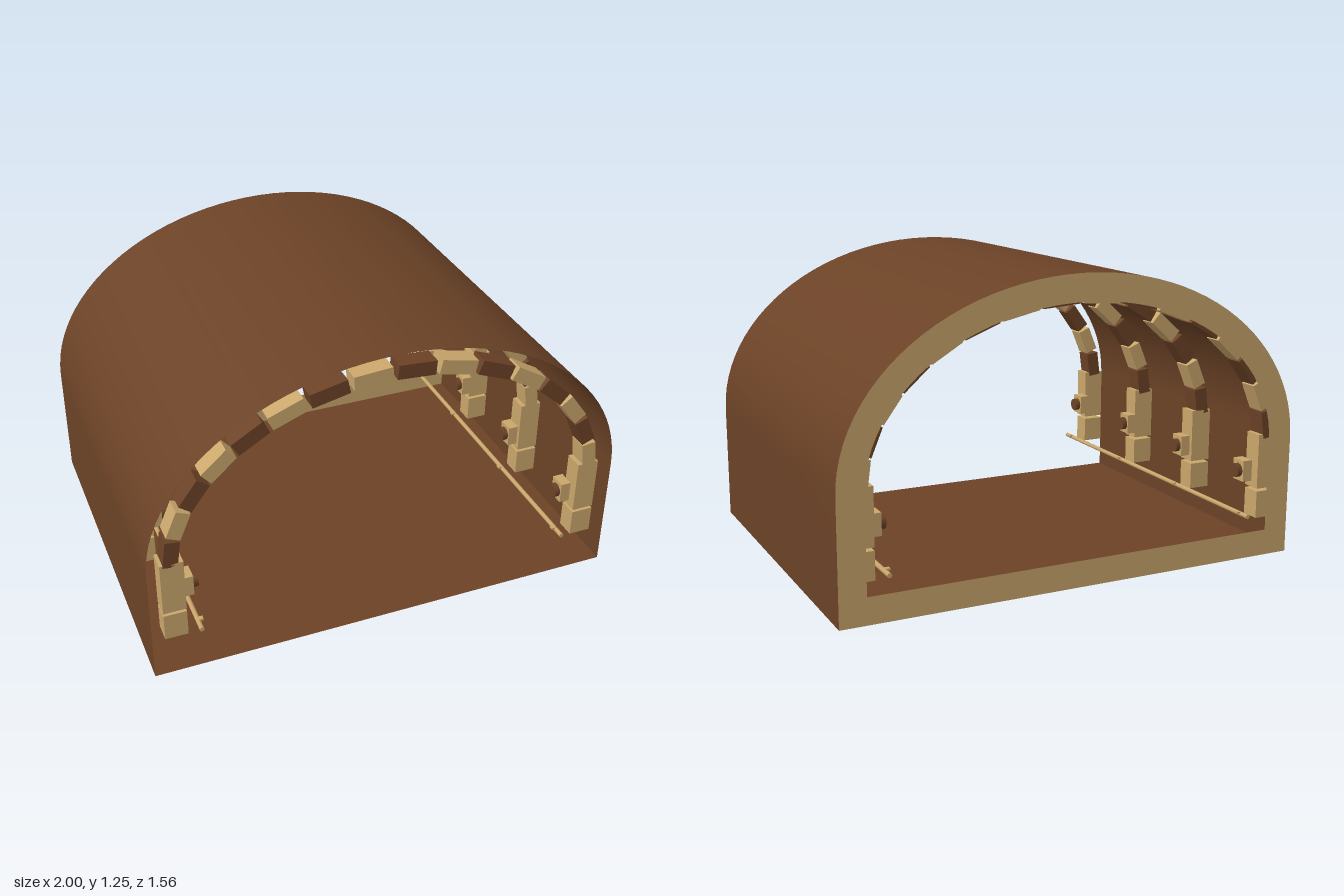
import * as THREE from 'three';

const HALF = 0.78;        // half length of the tunnel
const SPRING = 0.5;       // height where the arch starts

function mat(name, color) {
  const m = new THREE.MeshStandardMaterial({ color, side: THREE.DoubleSide });
  m.name = name;
  return m;
}

// Horseshoe outline from bottom left, over the crown, to bottom right
function archPoints(rx, ry, y0, steps = 48) {
  const pts = [new THREE.Vector2(-rx, y0)];
  for (let i = 0; i <= steps; i++) {
    const a = Math.PI * (1 - i / steps);
    pts.push(new THREE.Vector2(rx * Math.cos(a), SPRING + ry * Math.sin(a)));
  }
  pts.push(new THREE.Vector2(rx, y0));
  return pts;
}

export function createModel() {
  const model = new THREE.Group();
  model.name = 'archedTunnel';
  const brown = mat('brown', 0x6b4226);
  const tan = mat('tan', 0xc9a66b);

  function add(parent, name, geo, material, x = 0, y = 0, z = 0) {
    const mesh = new THREE.Mesh(geo, material);
    mesh.name = name;
    mesh.position.set(x, y, z);
    parent.add(mesh);
    return mesh;
  }

  // Vault: a sheet bent along the outline
  const outer = archPoints(1, 0.745, 0);
  const vault = new THREE.PlaneGeometry(1, 2 * HALF, outer.length - 1, 1);
  const pos = vault.attributes.position;
  for (let i = 0; i < pos.count; i++) {
    const p = outer[i % outer.length];
    pos.setXYZ(i, p.x, p.y, -pos.getY(i));
  }
  vault.computeVertexNormals();
  add(model, 'vault', vault, brown);

  // Floor sheet
  add(model, 'floor', new THREE.PlaneGeometry(2, 2 * HALF).rotateX(Math.PI / 2), brown);

  // Flat border closing the back end of the shell
  const border = new THREE.Shape(outer);
  border.holes.push(new THREE.Path(archPoints(0.89, 0.635, 0.11)));
  add(model, 'backBorder', new THREE.ShapeGeometry(border).rotateY(Math.PI), tan, 0, 0, -HALF);

  // Ribs: alternating arch bricks on block pillars
  const COUNT = 16;
  const RX = 0.9, RY = 0.655;
  for (let r = 0; r < 4; r++) {
    const t = r / 1.5 - 1;            // -1 .. 1 along the tunnel
    const rib = new THREE.Group();
    rib.name = 'rib';
    rib.position.z = 0.725 * t;
    model.add(rib);

    for (let i = 0; i < COUNT; i++) {
      const a = Math.PI * (1 - (i + 0.5) / COUNT);
      const dx = RX * Math.sin(a), dy = -RY * Math.cos(a);
      const length = Math.hypot(dx, dy) * (Math.PI / COUNT) * 0.89;
      const brick = add(rib, 'archBrick', new THREE.BoxGeometry(length, 0.06, 0.08),
        i % 2 ? tan : brown, RX * Math.cos(a), SPRING + RY * Math.sin(a), 0);
      brick.rotation.z = Math.atan2(dy, dx);
    }

    for (const s of [-1, 1]) {
      add(rib, 'pillarFoot', new THREE.BoxGeometry(0.094, 0.115, 0.08), tan, s * 0.898, 0.22, 0);
      add(rib, 'pillarBlock', new THREE.BoxGeometry(0.094, 0.232, 0.08), tan, s * 0.898, 0.406, 0);

      // Wall lamp on the inner face of the pillar
      const lamp = new THREE.Group();
      lamp.name = 'wallLamp';
      lamp.position.set(s * 0.83, 0.36, -0.035 * t);
      rib.add(lamp);
      add(lamp, 'lampBase', new THREE.BoxGeometry(0.045, 0.09, 0.07), tan);
      add(lamp, 'lampLens', new THREE.CylinderGeometry(0.03, 0.03, 0.022, 12).rotateZ(Math.PI / 2),
        brown, -s * 0.033, 0, 0);

      // Small clip holding the side rail
      add(rib, 'railClip', new THREE.BoxGeometry(0.02, 0.008, 0.02), tan, s * 0.79, 0.185, 0);
    }
  }

  // Thin rails along both sides
  for (const s of [-1, 1]) {
    add(model, 'sideRail', new THREE.CylinderGeometry(0.01, 0.01, 2 * HALF, 8).rotateX(Math.PI / 2),
      tan, s * 0.8, 0.178, 0);
  }

  return model;
}
